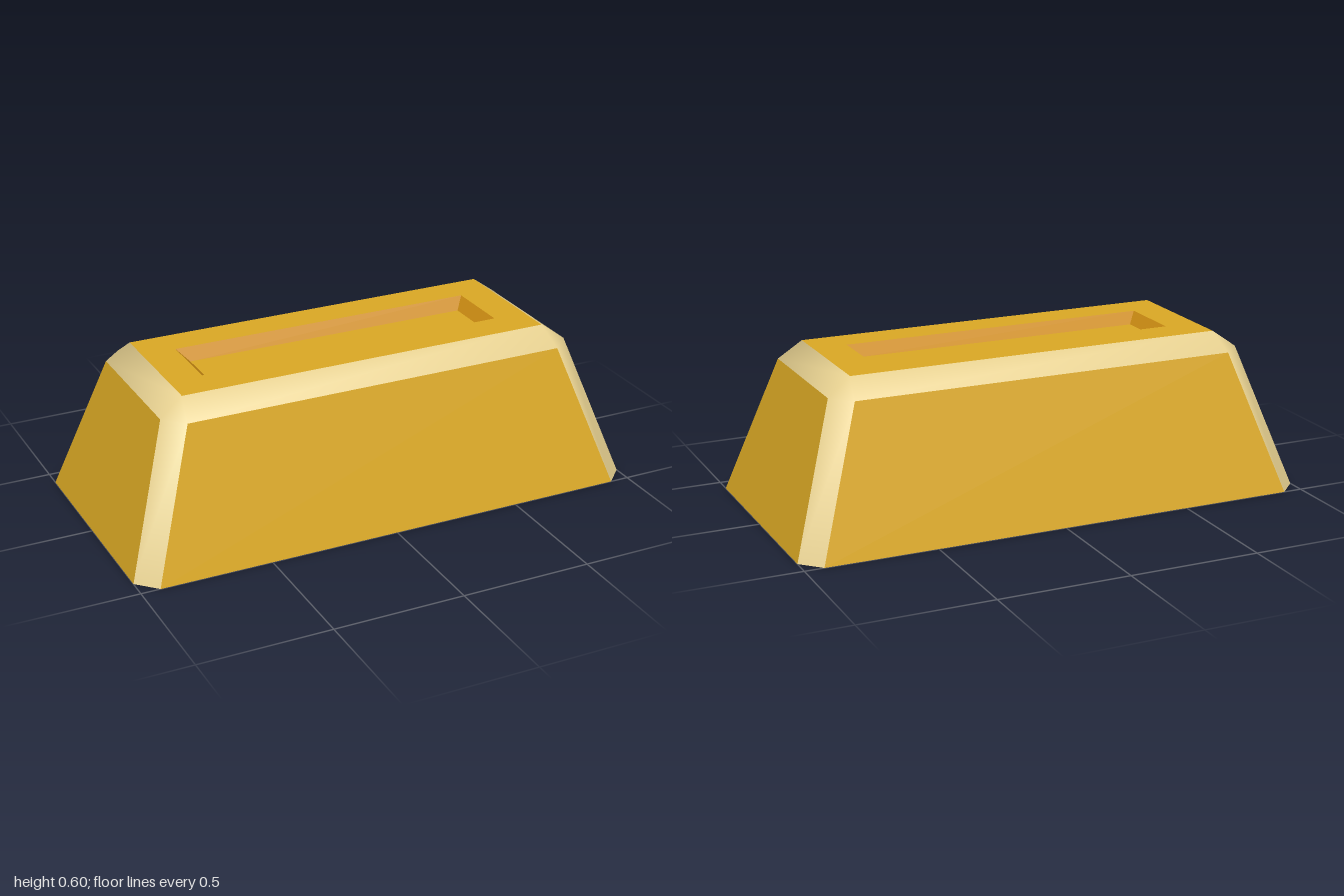
import * as THREE from 'three';
import { mergeVertices } from 'three/addons/utils/BufferGeometryUtils.js';

const material = (name, color) => {
  const m = new THREE.MeshStandardMaterial({ color });
  m.name = name;
  return m;
};

// Eight-sided ring with cut corners, anticlockwise from above
function ring(w, d, cut, y) {
  const a = w - cut, b = d - cut;
  return [[w, b], [w, -b], [a, -d], [-a, -d], [-w, -b], [-w, b], [-a, d], [a, d]]
    .map(([x, z]) => [x, y, z]);
}

// Four-sided ring, same direction
const rect = (w, d, y) => [[w, y, -d], [-w, y, -d], [-w, y, d], [w, y, d]];

// Mesh from a list of convex polygons, flat or smoothed
function polyMesh(name, polygons, mat, smooth = false) {
  const positions = [];
  for (const p of polygons) {
    for (let i = 1; i < p.length - 1; i++) positions.push(...p[0], ...p[i], ...p[i + 1]);
  }
  let geometry = new THREE.BufferGeometry();
  geometry.setAttribute('position', new THREE.Float32BufferAttribute(positions, 3));
  if (smooth) geometry = mergeVertices(geometry);
  geometry.computeVertexNormals();
  const mesh = new THREE.Mesh(geometry, mat);
  mesh.name = name;
  return mesh;
}

export function createModel() {
  const gold = material('gold', 0xdaa824);
  const paleGold = material('pale gold edge', 0xe4ce8e);
  const deepGold = material('deep gold', 0xc98a12);

  const base = ring(1, 0.5, 0.073, 0);
  const shoulder = ring(0.82, 0.35, 0.073, 0.535);
  const top = rect(0.73, 0.26, 0.6);
  const rim = rect(0.6, 0.13, 0.6);
  const floor = rect(0.56, 0.085, 0.56);

  const sides = [], edges = [], topFrame = [], recessWalls = [];
  for (let k = 0; k < 4; k++) {
    const i = 2 * k, j = i + 1, n = (i + 2) % 8, next = (k + 1) % 4;
    // Sloping side, its cut corner, and the bevel above both
    sides.push([base[i], base[j], shoulder[j], shoulder[i]]);
    edges.push([base[j], base[n], shoulder[n], shoulder[j]]);
    edges.push([shoulder[i], shoulder[j], top[k], top[(k + 3) % 4]]);
    edges.push([shoulder[j], shoulder[n], top[k]]);
    // Top border and sloping wall of the recess
    topFrame.push([top[k], top[next], rim[next], rim[k]]);
    recessWalls.push([rim[k], rim[next], floor[next], floor[k]]);
  }

  const model = new THREE.Group();
  model.name = 'goldBar';
  model.add(
    polyMesh('sides', sides, gold),
    polyMesh('bottom', [[...base].reverse()], gold),
    polyMesh('bevelledEdges', edges, paleGold, true),
    polyMesh('topFrame', topFrame, gold),
    polyMesh('recessWalls', recessWalls, deepGold),
    polyMesh('recessFloor', [floor], gold),
  );
  return model;
}
